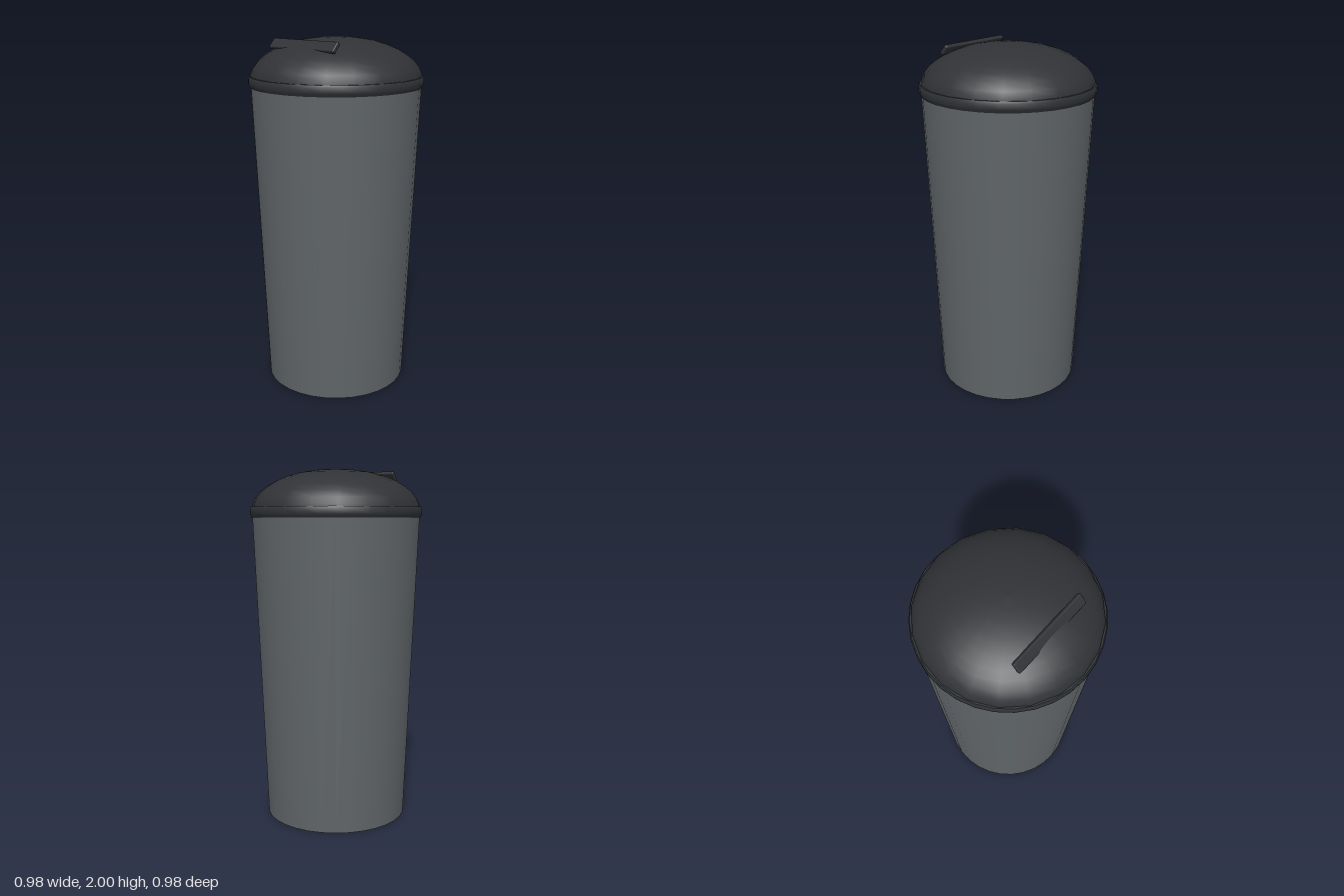
import * as THREE from 'three';
import { toCreasedNormals } from 'three/addons/utils/BufferGeometryUtils.js';
import { RoundedBoxGeometry } from 'three/addons/geometries/RoundedBoxGeometry.js';

const bodyColor = new THREE.MeshStandardMaterial({ color: 0x606568 });
const lidColor = new THREE.MeshStandardMaterial({ color: 0x303236 });

// Turned part from [radius, height] pairs, listed from bottom to top
function turned(profile, sides) {
  return new THREE.LatheGeometry(profile.map(([r, y]) => new THREE.Vector2(r, y)), sides);
}

export function createModel() {
  const model = new THREE.Group();
  const add = (name, geometry, material) => {
    const mesh = new THREE.Mesh(geometry, material);
    mesh.name = name;
    model.add(mesh);
    return mesh;
  };

  // Tapered bin with a flat base
  const body = add('body', new THREE.CylinderGeometry(0.477, 0.405, 1.75, 32), bodyColor);
  body.position.y = 0.875;

  // Bevelled collar around the mouth
  const rim = turned([
    [0.46, 1.73], [0.48, 1.73], [0.486, 1.742], [0.49, 1.75],
    [0.49, 1.778], [0.484, 1.79], [0.46, 1.79],
  ], 32);
  add('rim', toCreasedNormals(rim, 0.6), lidColor);

  // Domed lid
  add('lid', turned([
    [0.48, 1.77], [0.477, 1.80], [0.462, 1.835], [0.432, 1.873], [0.39, 1.905],
    [0.345, 1.932], [0.285, 1.957], [0.215, 1.978], [0.14, 1.991], [0.07, 1.998], [0, 2],
  ], 20), lidColor);

  // Tilted grip bar, partly sunk into the lid
  const handle = add('handle', new RoundedBoxGeometry(0.476, 0.063, 0.024, 2, 0.006), lidColor);
  handle.position.set(0, 1.963, 0.254);
  handle.rotation.x = -0.72;

  return model;
}
